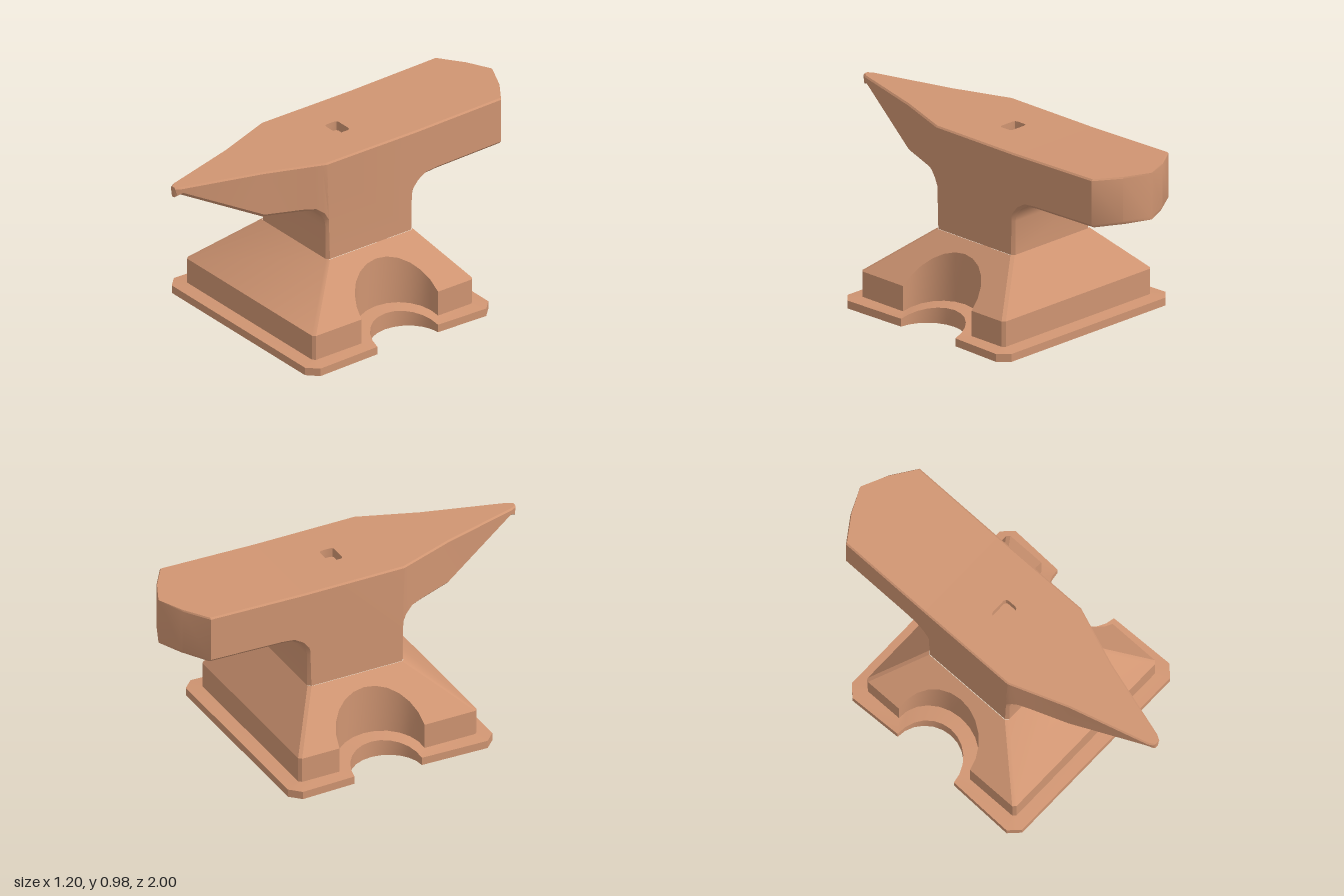
import * as THREE from 'three';
import { toCreasedNormals, mergeGeometries } from 'three/addons/utils/BufferGeometryUtils.js';

const material = new THREE.MeshStandardMaterial({ color: 0xd09572 });

// Skin between loops of [x, y, z] points, skipping collapsed triangles
function addTriangle(out, a, b, c) {
  const [p, q, r] = [a, b, c].map((v) => new THREE.Vector3(...v));
  if (q.sub(p).cross(r.sub(p)).length() > 1e-8) out.push(...a, ...b, ...c);
}

function loft(loops, closed) {
  const out = [];
  const n = loops[0].length;
  for (let i = 0; i < loops.length - 1; i++) {
    for (let j = 0; j < (closed ? n : n - 1); j++) {
      const k = (j + 1) % n;
      addTriangle(out, loops[i][j], loops[i][k], loops[i + 1][k]);
      addTriangle(out, loops[i][j], loops[i + 1][k], loops[i + 1][j]);
    }
  }
  return out;
}

function fan(loop) {
  const out = [];
  for (let j = 1; j < loop.length - 1; j++) addTriangle(out, loop[0], loop[j], loop[j + 1]);
  return out;
}

function toGeometry(positions) {
  const g = new THREE.BufferGeometry();
  g.setAttribute('position', new THREE.Float32BufferAttribute(positions, 3));
  return toCreasedNormals(g, 0.5);
}

function addMesh(group, name, geometry) {
  const mesh = new THREE.Mesh(geometry, material);
  mesh.name = name;
  group.add(mesh);
}

const mirrorLoop = (half) => [...half, ...half.map(([x, y, z]) => [-x, y, z]).reverse()];

// Linear interpolation through [key, value] pairs in rising order
function lerpTable(table, t) {
  if (t <= table[0][0]) return table[0][1];
  for (let i = 1; i < table.length; i++) {
    const [a, va] = table[i - 1], [b, vb] = table[i];
    if (t <= b) return va + ((vb - va) * (t - a)) / (b - a);
  }
  return table[table.length - 1][1];
}

// Rectangle with cut corners and a rounded notch in each side, from above
const NOTCH_STEPS = 12;
function footOutline({ x, front, back, cut, notchX, depth, halfLength, y, rise }) {
  const half = [[x - cut, y, front], [x, y, front - cut]];
  for (let i = 0; i <= NOTCH_STEPS; i++) {
    const a = (Math.PI * i) / NOTCH_STEPS;
    const s = Math.sin(a);
    half.push([notchX - depth * s, y + rise * s, -0.02 + halfLength * Math.cos(a)]);
  }
  half.push([x, y, back + cut], [x - cut, y, back]);
  return mirrorLoop(half);
}

// Stepped plate, block with side notches, and slope up to the waist
function foot(group) {
  const plate = { x: 0.6, front: 0.59, back: -0.56, cut: 0.055, notchX: 0.59, depth: 0.185, halfLength: 0.19 };
  const block = { x: 0.525, front: 0.52, back: -0.485, cut: 0.015, notchX: 0.525, depth: 0.195, halfLength: 0.24 };
  const waist = { x: 0.275, front: 0.24, back: -0.3, cut: 0.015 };
  const bottom = footOutline({ ...plate, y: 0, rise: 0 });
  const blockTop = footOutline({ ...block, y: 0.185, rise: (0.235 * block.depth) / 0.25 });

  const waistHalf = blockTop.slice(0, blockTop.length / 2).map(([, , z], i, all) => {
    if (i === 0) return [waist.x - waist.cut, 0.42, waist.front];
    if (i === all.length - 1) return [waist.x - waist.cut, 0.42, waist.back];
    return [waist.x, 0.42, THREE.MathUtils.clamp(z, waist.back + waist.cut, waist.front - waist.cut)];
  });

  const loops = [
    bottom,
    footOutline({ ...plate, y: 0.042, rise: 0.048 }),
    footOutline({ ...block, y: 0.05, rise: 0.05 }),
    blockTop,
    mirrorLoop(waistHalf),
  ];
  addMesh(group, 'foot', toGeometry(loft(loops, true)));

  const sole = new THREE.Shape(bottom.map(([x, , z]) => new THREE.Vector2(x, z)));
  addMesh(group, 'sole', new THREE.ShapeGeometry(sole).rotateX(Math.PI / 2));
}

const widthAt = (z) => lerpTable([
  [-1, 0.006], [-0.94, 0.14], [-0.85, 0.272], [0.24, 0.272], [0.55, 0.157], [0.97, 0.036], [1, 0.018],
], z);
const topAt = (z) => lerpTable([[-1, 0.98], [-0.32, 0.966], [1, 0.966]], z);

// Underside from horn tip to heel: z, y, and the direction its edge bevel steps inwards
const underside = [
  [1, 0.91, -0.5, 0.8], [0.97, 0.922, -0.3, 0.9], [0.55, 0.712, -0.2, 1], [0.36, 0.708, 0, 1],
  [0.3, 0.702, -0.4, 0.9], [0.265, 0.675, -0.7, 0.7], [0.245, 0.64, -0.95, 0.3], [0.24, 0.6, -1, 0],
  [0.24, 0.42, -1, 0], [-0.3, 0.42, 1, 0],
  [-0.3, 0.6, 1, 0], [-0.31, 0.64, 0.95, 0.3], [-0.34, 0.675, 0.7, 0.7], [-0.385, 0.702, 0.4, 0.9],
  [-0.45, 0.708, 0, 1], [-0.85, 0.718, 0, 1], [-0.94, 0.725, 0, 1], [-1, 0.731, 0, 1],
];
const TOP_BEVEL = 0.008, LOW_BEVEL = 0.016;
const faceWidth = (z) => widthAt(z) - Math.min(TOP_BEVEL, widthAt(z) * 0.5);

// Waist, horn and heel as one run of cross-sections
function body(group) {
  const sections = underside.map(([z, y, dz, dy]) => {
    const w = widthAt(z);
    const zi = z + dz * LOW_BEVEL;
    return mirrorLoop([
      [faceWidth(z), topAt(z), z],
      [w, topAt(z) - TOP_BEVEL, z],
      [widthAt(zi), y + dy * LOW_BEVEL, zi],
      [w - Math.min(LOW_BEVEL, w * 0.5), y, z],
    ]);
  });
  addMesh(group, 'body', toGeometry([
    ...loft(sections, false),
    ...fan([...sections[0]].reverse()),
    ...fan(sections[sections.length - 1]),
  ]));
}

// Flat working face with the tool hole, and the gently rising heel face
function face(group) {
  const outline = (zs) => new THREE.Shape(
    mirrorLoop(zs.map((z) => [faceWidth(z), 0, z])).map(([x, , z]) => new THREE.Vector2(x, -z)),
  );
  const hx = 0.056, hz = 0.04, c = 0.016, cz = -0.03;
  const hole = mirrorLoop([
    [hx - c, 0.966, cz + hz], [hx - c * 0.3, 0.966, cz + hz - c * 0.3], [hx, 0.966, cz + hz - c],
    [hx, 0.966, cz - hz + c], [hx - c * 0.3, 0.966, cz - hz + c * 0.3], [hx - c, 0.966, cz - hz],
  ]);

  const main = outline([1, 0.97, 0.55, 0.24, -0.32]);
  main.holes.push(new THREE.Path(hole.map(([x, , z]) => new THREE.Vector2(x, -z))));
  const parts = [main, outline([-0.32, -0.85, -0.94, -1])].map((shape) => {
    const g = new THREE.ShapeGeometry(shape).rotateX(-Math.PI / 2);
    const p = g.attributes.position;
    for (let i = 0; i < p.count; i++) p.setY(i, topAt(p.getZ(i)));
    g.computeVertexNormals();
    return g;
  });
  addMesh(group, 'workingFace', mergeGeometries(parts));

  const floor = hole.map(([x, y, z]) => [x, y - 0.05, z]);
  addMesh(group, 'toolHole', toGeometry([...loft([hole, floor], true), ...fan(floor)]));
}

export function createModel() {
  const group = new THREE.Group();
  group.name = 'anvil';
  foot(group);
  body(group);
  face(group);
  return group;
}
